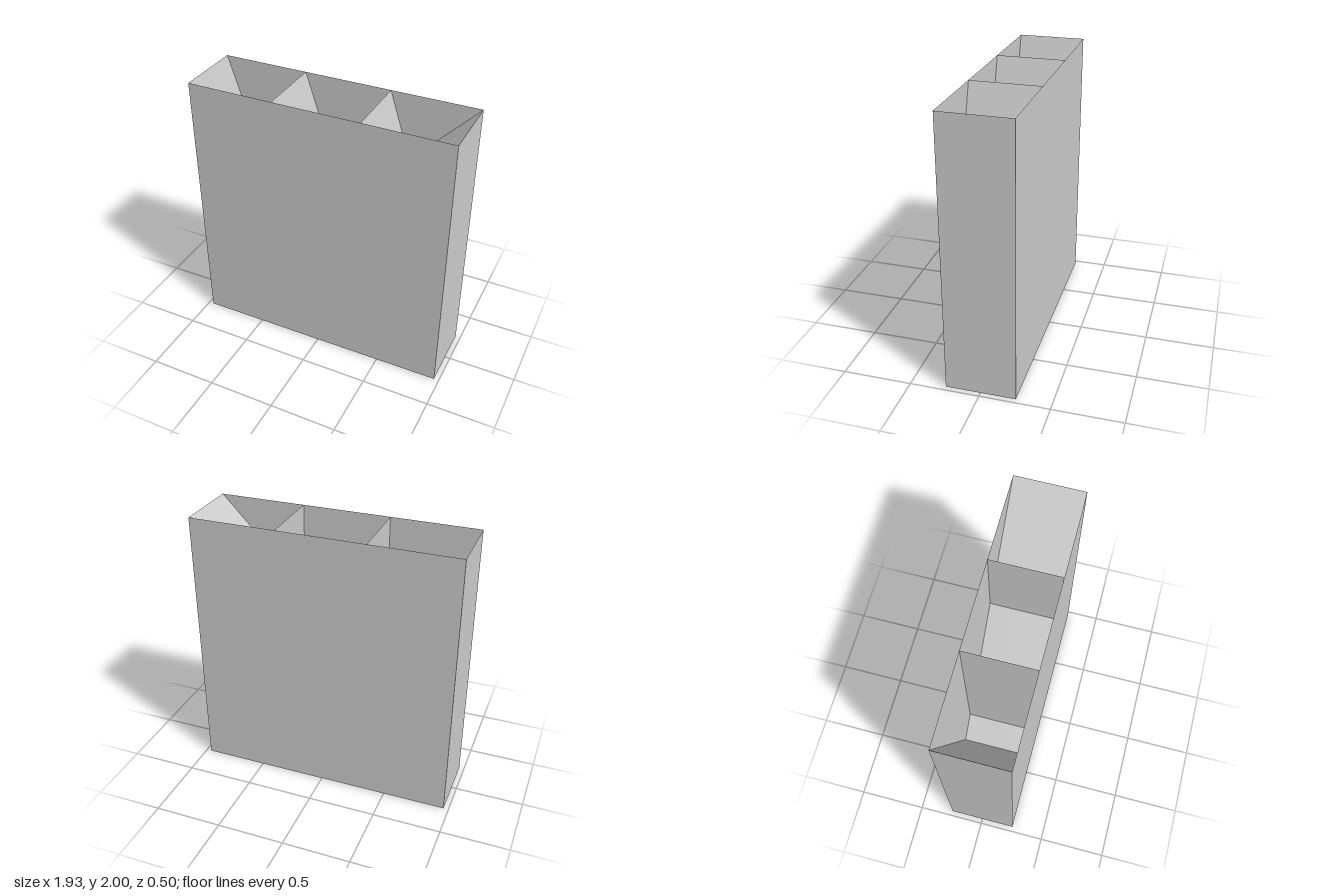
import * as THREE from 'three';

const W = 0.963, D = 0.251, H = 2; // half width, half depth, height

export function createModel() {
  const group = new THREE.Group();
  const material = new THREE.MeshStandardMaterial({
    color: 0xcccccc, flatShading: true, side: THREE.DoubleSide,
  });

  // Thin sheet spanning the full depth between two points of the front outline
  function sheet(name, x0, y0, x1, y1) {
    const length = Math.hypot(x1 - x0, y1 - y0);
    const geometry = new THREE.PlaneGeometry(length, 2 * D);
    geometry.rotateX(-Math.PI / 2);
    geometry.rotateZ(Math.atan2(y1 - y0, x1 - x0));
    geometry.translate((x0 + x1) / 2, (y0 + y1) / 2, 0);
    const mesh = new THREE.Mesh(geometry, material);
    mesh.name = name;
    group.add(mesh);
  }

  // Front and back panels; the top and bottom stay open
  for (const side of [1, -1]) {
    const panel = new THREE.Mesh(new THREE.PlaneGeometry(2 * W, H), material);
    panel.name = side > 0 ? 'frontPanel' : 'backPanel';
    panel.position.set(0, H / 2, side * D);
    if (side < 0) panel.rotation.y = Math.PI;
    group.add(panel);
  }

  // Upright walls: the two ends and two dividers at the thirds
  const names = ['rightWall', 'rightDivider', 'leftDivider', 'leftWall'];
  const xs = names.map((_, i) => -W + (i * 2 * W) / 3);
  xs.forEach((x, i) => sheet(names[i], x, 0, x, H));

  // A slanted brace across each of the three cells
  for (let i = 0; i < 3; i++) sheet('cellBrace' + (i + 1), xs[i], H, xs[i + 1], 0);

  // One long diagonal crossing all cells
  sheet('mainDiagonal', -W, 0, W, H);

  return group;
}
